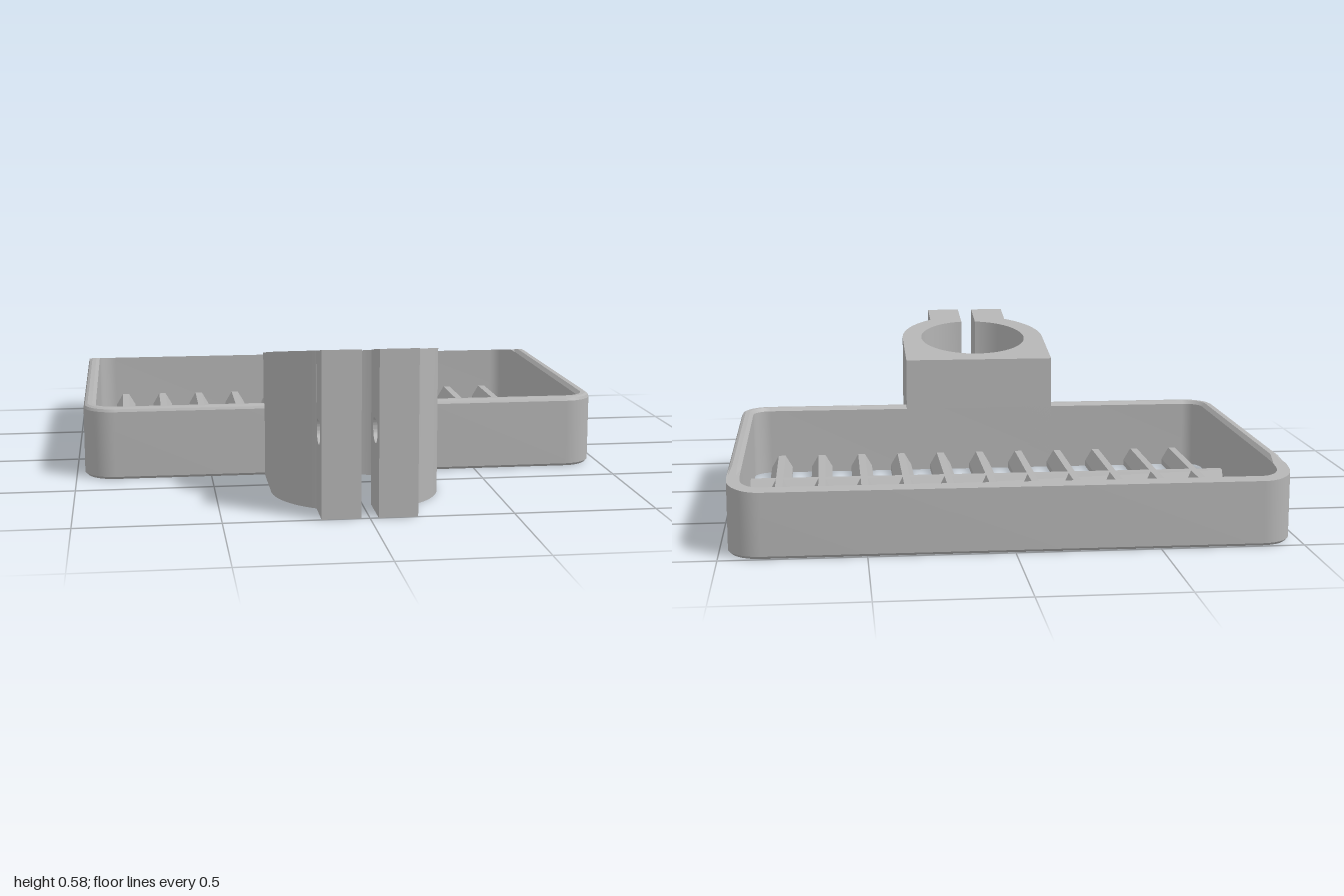
import * as THREE from 'three';
import { toCreasedNormals } from 'three/addons/utils/BufferGeometryUtils.js';

// Tray and clamp dimensions
const HALF_X = 0.97, BACK = -1, FRONT = 0.35, RADIUS = 0.115, WALL = 0.045, HEIGHT = 0.27;
const RING_Z = 0.6, RING_R = 0.3, BORE_R = 0.22, GAP = 0.03, EAR_X = 0.165, EAR_Z = 0.85;

const rimHeight = z => HEIGHT - Math.max(0, -0.76 - z) * 0.17;
const clampHeight = z => 0.58 - (1 - z) * 0.174;

// Points of a rounded rectangle, inset from the tray outline
function outline(inset) {
  const r = RADIUS - inset, cx = HALF_X - RADIUS, zf = FRONT - RADIUS, zb = BACK + RADIUS;
  const points = [];
  const corner = (x, z, start) => {
    for (let i = 0; i <= 10; i++) {
      const a = start + (i / 10) * Math.PI / 2;
      points.push([x + r * Math.cos(a), z + r * Math.sin(a)]);
    }
  };
  const x = HALF_X - inset;
  corner(cx, zf, 0);
  corner(-cx, zf, Math.PI / 2);
  points.push([-x, -0.76], [-x, -0.848]); // where the rim begins to slope
  corner(-cx, zb, Math.PI);
  corner(cx, zb, Math.PI * 1.5);
  points.push([x, -0.848], [x, -0.76]);
  return points;
}

// Wall profile swept around the outline, with the rear rim trimmed to a slope
function wallGeometry() {
  const profile = [[0.01, 0], [0, 0.01], [0, 0.255], [0.005, 0.265], [0.015, HEIGHT],
    [0.032, HEIGHT], [WALL, 0.257], [WALL, 0]];
  const rings = profile.map(([inset, y]) =>
    outline(inset).map(([x, z]) => [x, Math.min(y, rimHeight(z)), z]));
  const positions = [];
  const n = rings[0].length, m = rings.length;
  for (let j = 0; j < m; j++) {
    for (let i = 0; i < n; i++) {
      const lower = rings[j], upper = rings[(j + 1) % m], k = (i + 1) % n;
      positions.push(...lower[i], ...upper[i], ...upper[k], ...lower[i], ...upper[k], ...lower[k]);
    }
  }
  const geometry = new THREE.BufferGeometry();
  geometry.setAttribute('position', new THREE.Float32BufferAttribute(positions, 3));
  return toCreasedNormals(geometry, 0.4);
}

// Tapered grid bar running along z
function barGeometry(length) {
  const shape = new THREE.Shape([[-0.042, 0], [0.042, 0], [0.042, 0.022], [0.014, 0.07],
    [-0.014, 0.07], [-0.042, 0.022]].map(p => new THREE.Vector2(...p)));
  return new THREE.ExtrudeGeometry(shape, { depth: length, bevelEnabled: false })
    .translate(0, 0, -length / 2);
}

// Open ring with a square back, cut by a sloping top plane
function ringGeometry() {
  const shape = new THREE.Shape();
  const outer = Math.atan2(EAR_Z - RING_Z, EAR_X);
  const inner = Math.acos(GAP / BORE_R);
  shape.moveTo(-RING_R, 0.305);
  shape.lineTo(RING_R, 0.305);
  shape.lineTo(RING_R, RING_Z);
  shape.absarc(0, RING_Z, RING_R, 0, outer, false);
  shape.lineTo(GAP, EAR_Z);
  shape.absarc(0, RING_Z, BORE_R, inner, Math.PI - inner, true);
  shape.lineTo(-GAP, EAR_Z);
  shape.absarc(0, RING_Z, RING_R, Math.PI - outer, Math.PI, false);
  const geometry = new THREE.ExtrudeGeometry(shape, { depth: 1, bevelEnabled: false, curveSegments: 48 })
    .rotateX(Math.PI / 2).translate(0, 1, 0);
  const p = geometry.attributes.position;
  for (let i = 0; i < p.count; i++) p.setY(i, p.getY(i) > 0.5 ? clampHeight(p.getZ(i)) : 0);
  return toCreasedNormals(geometry, 0.5);
}

// Clamp ear with a teardrop bolt hole
function earGeometry() {
  const shape = new THREE.Shape();
  shape.moveTo(EAR_Z, 0);
  shape.lineTo(1, 0);
  shape.lineTo(1, clampHeight(1));
  shape.lineTo(EAR_Z, clampHeight(EAR_Z));
  const hole = new THREE.Path();
  hole.moveTo(0.912, 0.36);
  hole.absarc(0.912, 0.29, 0.049, Math.PI * 0.75, Math.PI * 2.25, false);
  hole.closePath();
  shape.holes.push(hole);
  const width = EAR_X - GAP;
  const geometry = new THREE.ExtrudeGeometry(shape, { depth: width, bevelEnabled: false, curveSegments: 24 })
    .rotateY(-Math.PI / 2).translate(width / 2, 0, 0);
  return toCreasedNormals(geometry, 0.5);
}

export function createModel() {
  const model = new THREE.Group();
  model.name = 'clampOnTray';
  const grey = new THREE.MeshStandardMaterial({ color: 0xb4b4b4 });
  grey.name = 'grey';
  const add = (parent, name, geometry, x = 0, y = 0, z = 0) => {
    const mesh = new THREE.Mesh(geometry, grey);
    mesh.name = name;
    mesh.position.set(x, y, z);
    parent.add(mesh);
    return mesh;
  };

  add(model, 'trayWall', wallGeometry());

  // Floor grid
  const grid = new THREE.Group();
  grid.name = 'floorGrid';
  model.add(grid);
  const middle = (BACK + FRONT) / 2;
  const longBar = barGeometry(FRONT - BACK - 2 * WALL + 0.01);
  for (let i = -5; i <= 5; i++) add(grid, 'longBar', longBar, i * 0.163, 0, middle);
  const crossBar = barGeometry(2 * (HALF_X - WALL) + 0.01).rotateY(Math.PI / 2);
  for (const z of [-0.535, -0.112]) add(grid, 'crossBar', crossBar, 0, 0, z);

  // Clamp
  const clamp = new THREE.Group();
  clamp.name = 'clamp';
  model.add(clamp);
  add(clamp, 'clampRing', ringGeometry());
  const ear = earGeometry();
  for (const side of [-1, 1]) add(clamp, 'clampEar', ear, side * (GAP + EAR_X) / 2);

  return model;
}
